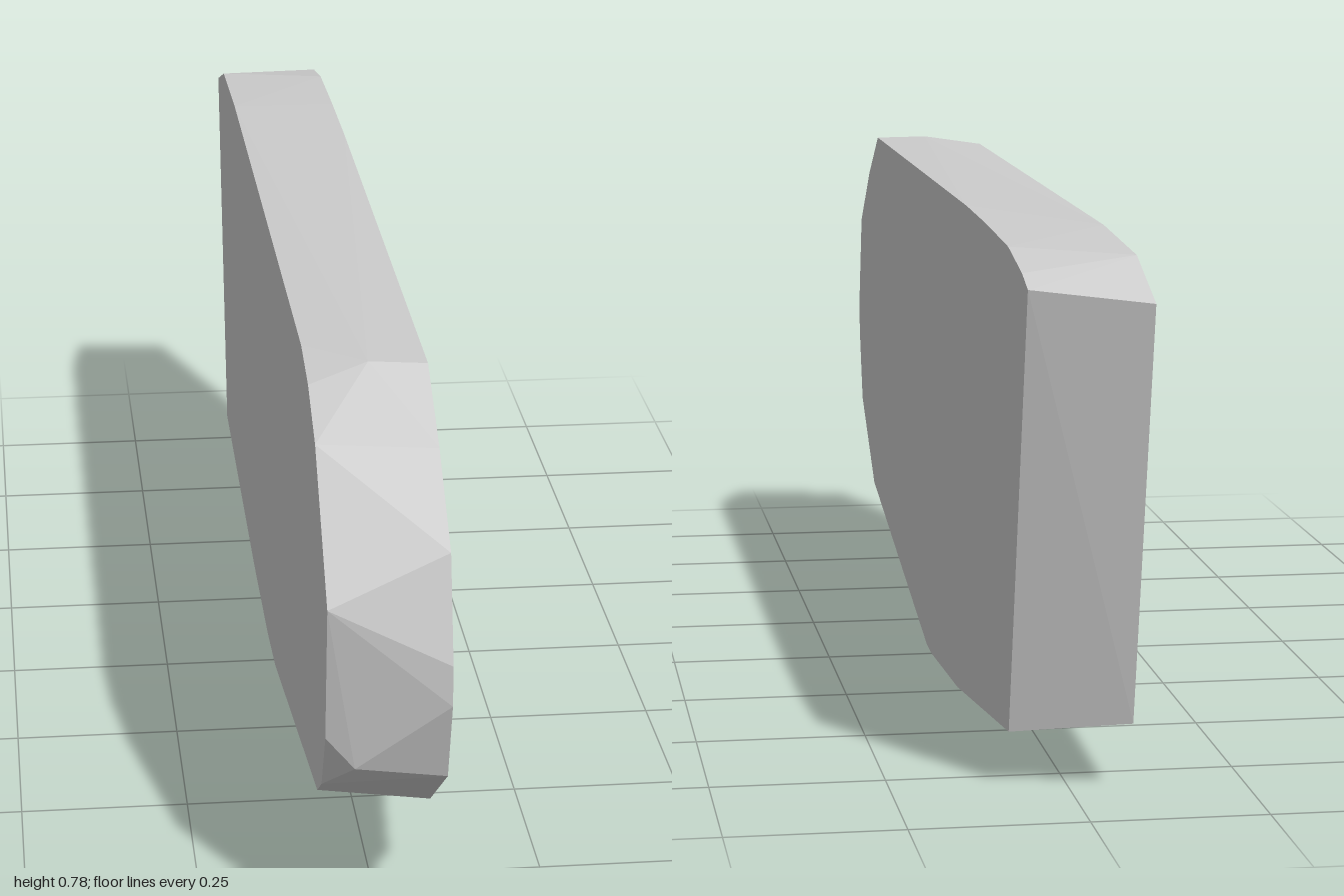
import * as THREE from 'three';
import { ConvexGeometry } from 'three/addons/geometries/ConvexGeometry.js';

// Outline of the left face (+x), as [z, y] pairs
const LEFT = [
  [0.7, 0.776], [0.83, 0.7], [0.96, 0.6], [1, 0.45], [1, 0.39], [0.96, 0.265],
  [0.78, 0.138], [0.06, 0.004], [0, 0.002], [-0.3, 0.02], [-0.81, 0.082],
  [-0.97, 0.728], [-0.92, 0.744], [-0.8, 0.765], [-0.6, 0.773], [-0.4, 0.777],
];

// Outline of the right face (-x), as [z, y] pairs
const RIGHT = [
  [0.6, 0.772], [0.7, 0.75], [0.8, 0.7], [0.967, 0.525], [0.942, 0.322],
  [0.89, 0.226], [0.83, 0.186], [0.147, 0.062], [0.01, 0.055], [-0.25, 0.061],
  [-0.86, 0.1], [-1, 0.71], [-0.86, 0.758], [-0.61, 0.77],
];

// Bevel corners on the rim between the two faces
const RIM = [
  [0, 0.778, 0.69], [-0.045, 0.278, 0.952], [-0.055, 0.035, 0.04],
];

export function createModel() {
  const group = new THREE.Group();
  group.name = 'model';

  const stone = new THREE.MeshStandardMaterial({ color: 0xcccccc });
  stone.name = 'light grey';

  // Faceted slab: flat faces joined by a chipped rim
  const points = [
    ...LEFT.map(([z, y]) => new THREE.Vector3(0.083, y, z)),
    ...RIGHT.map(([z, y]) => new THREE.Vector3(-0.085, y, z)),
    ...RIM.map((p) => new THREE.Vector3(...p)),
  ];
  const slab = new THREE.Mesh(new ConvexGeometry(points), stone);
  slab.name = 'slab';
  group.add(slab);
  return group;
}
